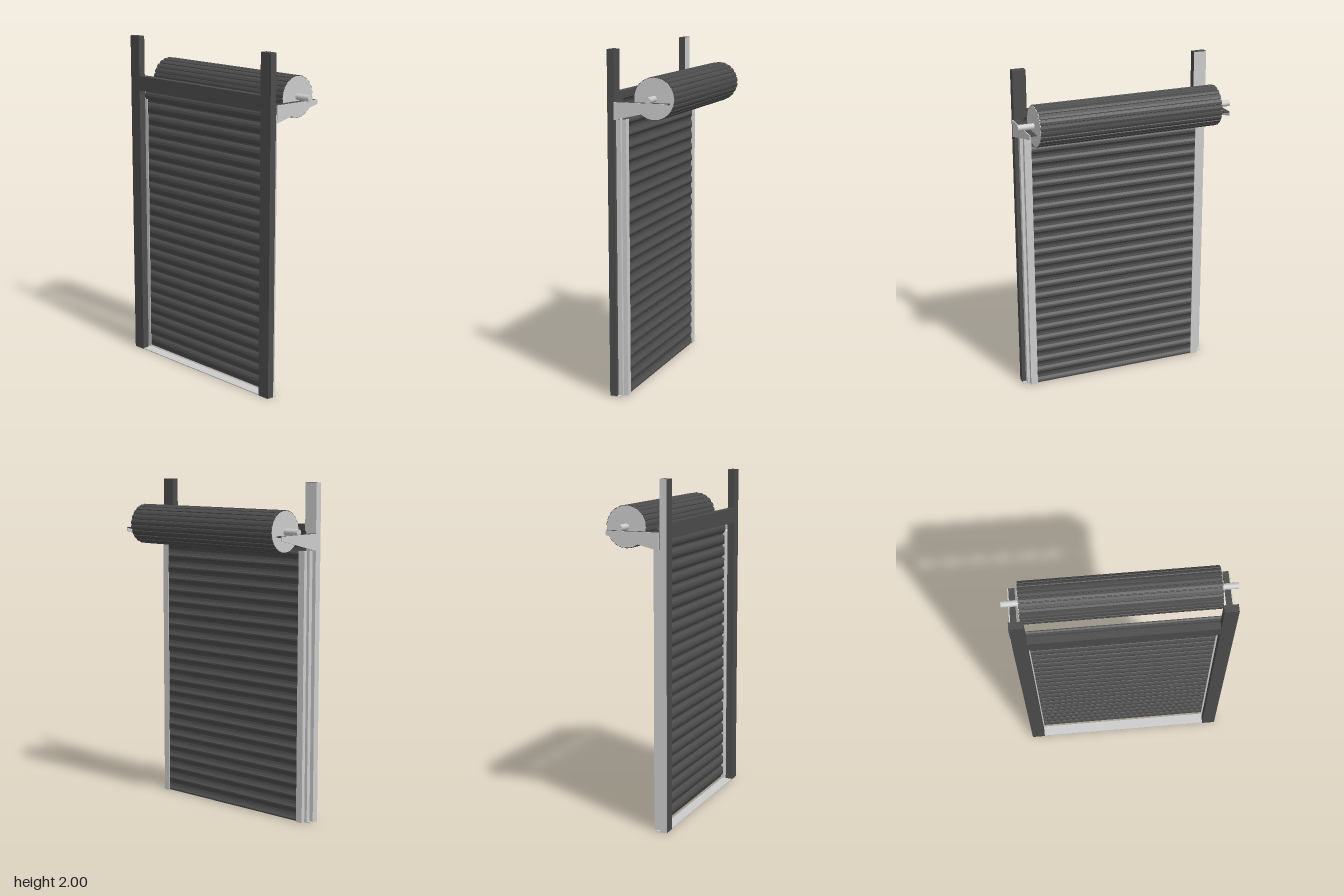
import * as THREE from 'three';

const steel = new THREE.MeshStandardMaterial({ color: 0xcccccc });
const dark = new THREE.MeshStandardMaterial({ color: 0x4c4c4c });

export function createModel() {
  const model = new THREE.Group();

  const add = (name, geometry, material) => {
    const mesh = new THREE.Mesh(geometry, material);
    mesh.name = name;
    model.add(mesh);
    return mesh;
  };
  // box given by its limits on each axis
  const box = (name, material, [x0, x1], [y0, y1], [z0, z1]) => {
    const g = new THREE.BoxGeometry(Math.abs(x1 - x0), y1 - y0, z1 - z0);
    g.translate((x0 + x1) / 2, (y0 + y1) / 2, (z0 + z1) / 2);
    return add(name, g, material);
  };
  // outline of [z, y] points extruded along x, centred on cx
  const profile = (points, width, cx = 0) => {
    const shape = new THREE.Shape(points.map(([z, y]) => new THREE.Vector2(z, y)));
    const g = new THREE.ExtrudeGeometry(shape, { depth: width, bevelEnabled: false });
    g.translate(0, 0, -width / 2);
    g.rotateY(-Math.PI / 2);
    g.translate(cx, 0, 0);
    return g;
  };

  // frame around the opening
  box('lintel', dark, [-0.53, 0.53], [1.67, 1.76], [0.148, 0.19]);
  box('sill', steel, [-0.61, 0.61], [0, 0.005], [0.125, 0.188]);
  for (const s of [1, -1]) {
    // the post on one side has bare outer and rear faces
    const paint = s > 0 ? dark : [dark, steel, dark, dark, dark, steel];
    box('post', paint, [s * 0.53, s * 0.61], [0, 2], [0.148, 0.19]);

    // channel that guides the curtain edge, with its fixing angle
    box('guideBack', steel, [s * 0.525, s * 0.568], [0, 1.61], [0.096, 0.1]);
    box('guideWeb', steel, [s * 0.564, s * 0.568], [0, 1.61], [0.1, 0.133]);
    box('guideFront', steel, [s * 0.525, s * 0.564], [0, 1.61], [0.129, 0.133]);
    box('fixingAngleLeg', steel, [s * 0.568, s * 0.586], [0, 1.61], [0.121, 0.126]);
    box('fixingAngleWeb', steel, [s * 0.581, s * 0.586], [0, 1.61], [0.126, 0.148]);

    // tapered bracket: outer web and top flange
    const web = [[0.148, 1.61], [0.148, 1.71], [-0.17, 1.71], [-0.17, 1.685]];
    add('bracketWeb', profile(web, 0.006, s * 0.617), steel);
    box('bracketFlange', dark, [s * 0.58, s * 0.614], [1.703, 1.71], [-0.17, 0.148]);
  }

  // curtain: bulged slats joined by narrow grooves, as one thin corrugated sheet
  const slats = 24, pitch = 0.072, thickness = 0.005;
  const section = [[0, 0.106], [0.14, 0.106], [0.2, 0.114], [0.38, 0.122], [0.58, 0.125], [0.78, 0.122], [0.94, 0.114]];
  const front = [];
  for (let i = 0; i < slats; i++) {
    for (const [t, z] of section) front.push([z, 0.004 + (i + t) * pitch]);
  }
  front.push([0.106, 0.004 + slats * pitch]);
  const back = front.map(([z, y]) => [z - thickness, y]).reverse();
  add('curtain', profile([...front, ...back], 1.12), dark);

  // rolled-up part: flat slats around a drum with small grooves between
  const roll = new THREE.Group();
  roll.name = 'roll';
  roll.position.set(0, 1.73, -0.07);
  model.add(roll);
  const count = 22, rim = [];
  for (let i = 0; i < count; i++) {
    for (const [t, r] of [[0, 0.115], [0.1, 0.115], [0.16, 0.119], [0.55, 0.121], [0.94, 0.119]]) {
      const a = ((i + t) / count) * Math.PI * 2;
      rim.push([r * Math.cos(a), r * Math.sin(a)]);
    }
  }
  const rolled = add('rolledCurtain', profile(rim, 1.12), dark);
  const shaft = add('shaft', new THREE.CylinderGeometry(0.018, 0.018, 1.32, 24).rotateZ(Math.PI / 2), steel);
  roll.add(rolled, shaft);
  for (const s of [1, -1]) {
    const cap = add('endCap', new THREE.CylinderGeometry(0.117, 0.117, 0.006, 44).rotateZ(Math.PI / 2), steel);
    cap.position.x = s * 0.559;
    roll.add(cap);
  }

  return model;
}
